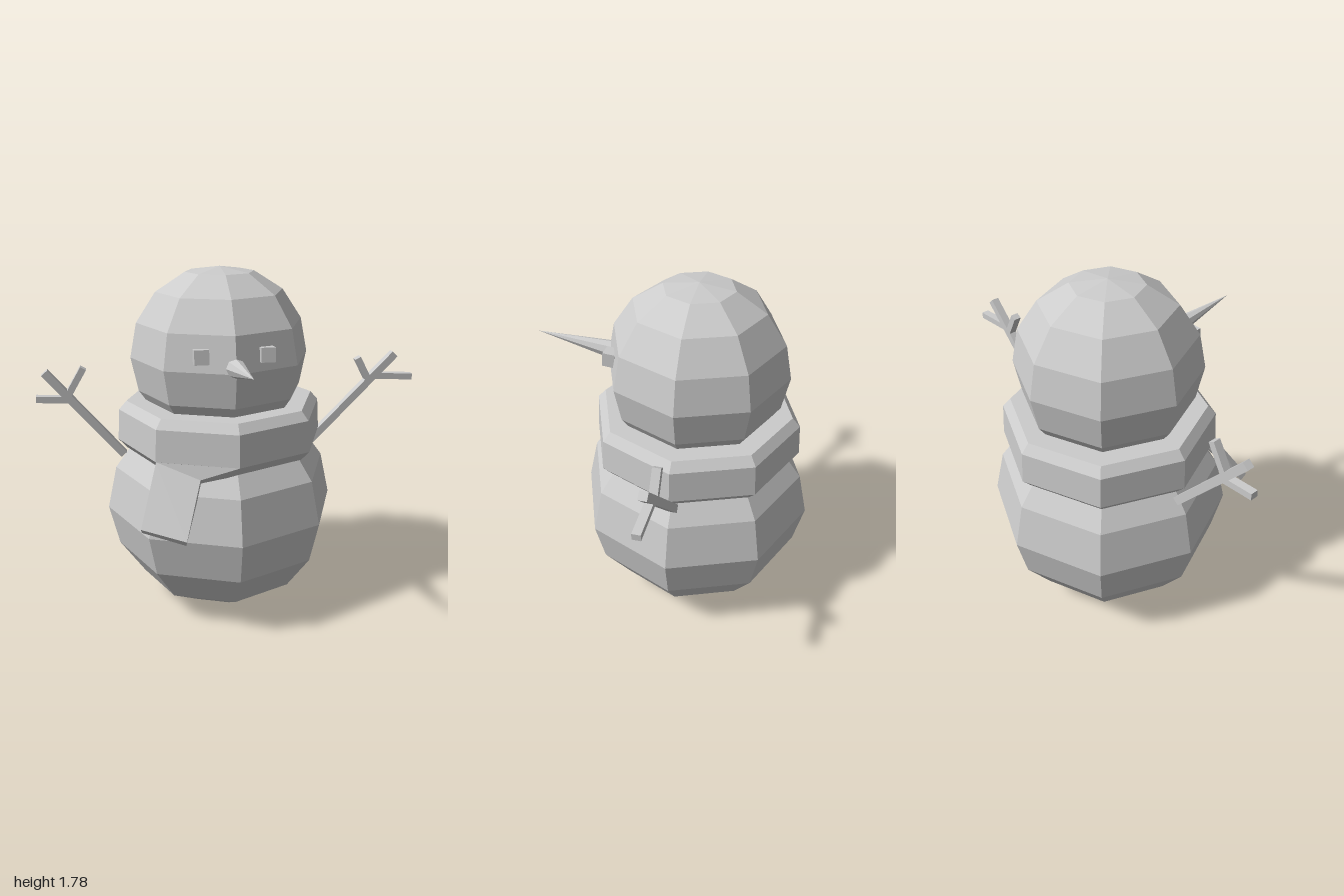
import * as THREE from 'three';
import { ConvexGeometry } from 'three/addons/geometries/ConvexGeometry.js';

const CX = -0.06, CZ = -0.12; // axis of the round parts
const material = new THREE.MeshStandardMaterial({ color: 0xcccccc, flatShading: true });
const V = (x, y, z) => new THREE.Vector3(x, y, z);

export function createModel() {
  const model = new THREE.Group();
  model.name = 'snowman';

  const add = (name, geometry, parent = model) => {
    const mesh = new THREE.Mesh(geometry, material);
    mesh.name = name;
    parent.add(mesh);
    return mesh;
  };

  // Eight-sided turned part from [radius, height] pairs, bottom to top
  const turned = (name, profile) => {
    const points = profile.map(([r, y]) => new THREE.Vector2(r, y));
    add(name, new THREE.LatheGeometry(points, 8)).position.set(CX, 0, CZ);
  };

  // Square stick between two points in a plane of constant z
  const stick = (name, [x1, y1], [x2, y2], width, parent) => {
    const length = Math.hypot(x2 - x1, y2 - y1);
    const mesh = add(name, new THREE.BoxGeometry(length, width, 0.04), parent);
    mesh.position.set((x1 + x2) / 2, (y1 + y2) / 2, -0.13);
    mesh.rotation.z = Math.atan2(y2 - y1, x2 - x1);
  };

  // Snowballs
  turned('body', [[0, 0], [0.23, 0.01], [0.43, 0.13], [0.56, 0.315], [0.61, 0.53],
    [0.56, 0.755], [0.43, 0.93], [0.23, 1.04], [0, 1.06]]);
  turned('head', [[0, 0.9], [0.17, 0.92], [0.325, 1.02], [0.425, 1.165], [0.46, 1.34],
    [0.425, 1.515], [0.325, 1.665], [0.175, 1.76], [0, 1.785]]);

  // Scarf ring, closed on the inside
  turned('scarf', [[0.36, 0.86], [0.495, 0.86], [0.54, 0.91], [0.53, 1.07],
    [0.49, 1.115], [0.36, 1.115], [0.36, 0.86]]);

  // Scarf end: a drooping fold beside the front corner, then the hanging tail
  add('scarfFold', new ConvexGeometry([
    V(-0.06, 0.91, 0.42), V(-0.24, 0.84, 0.36), V(-0.44, 0.91, 0.262),
    V(-0.06, 0.86, 0.375), V(-0.23, 0.795, 0.31), V(-0.41, 0.86, 0.23),
  ]));
  add('scarfTail', new ConvexGeometry([
    V(-0.44, 0.91, 0.262), V(-0.24, 0.84, 0.36), V(-0.33, 0.597, 0.515), V(-0.535, 0.64, 0.43),
    V(-0.42, 0.86, 0.23), V(-0.23, 0.795, 0.31), V(-0.33, 0.567, 0.49), V(-0.53, 0.61, 0.4),
  ]));

  // Face
  for (const [name, side] of [['rightEye', -1], ['leftEye', 1]]) {
    const eye = add(name, new THREE.BoxGeometry(0.07, 0.07, 0.06));
    eye.position.set(CX + side * 0.157, 1.418, 0.274);
    eye.rotation.x = -0.08;
  }
  const base = V(CX, 1.362, 0.29), tip = V(CX, 1.415, 0.71);
  const nose = add('nose', new THREE.ConeGeometry(0.05, base.distanceTo(tip), 8));
  nose.position.copy(base).lerp(tip, 0.5);
  nose.quaternion.setFromUnitVectors(V(0, 1, 0), tip.clone().sub(base).normalize());

  // Stick arms: shoulder, hand, inner twig and outer twig
  const arms = {
    leftArm: [[0.43, 0.83], [0.895, 1.3], [0.755, 1.16], [0.687, 1.285], [0.77, 1.185], [1, 1.17]],
    rightArm: [[-0.575, 0.825], [-0.95, 1.28], [-0.845, 1.15], [-0.758, 1.295], [-0.84, 1.135], [-1, 1.145]],
  };
  for (const [name, p] of Object.entries(arms)) {
    const arm = new THREE.Group();
    arm.name = name;
    model.add(arm);
    stick('branch', p[0], p[1], 0.04, arm);
    stick('innerTwig', p[2], p[3], 0.033, arm);
    stick('outerTwig', p[4], p[5], 0.033, arm);
  }

  return model;
}
